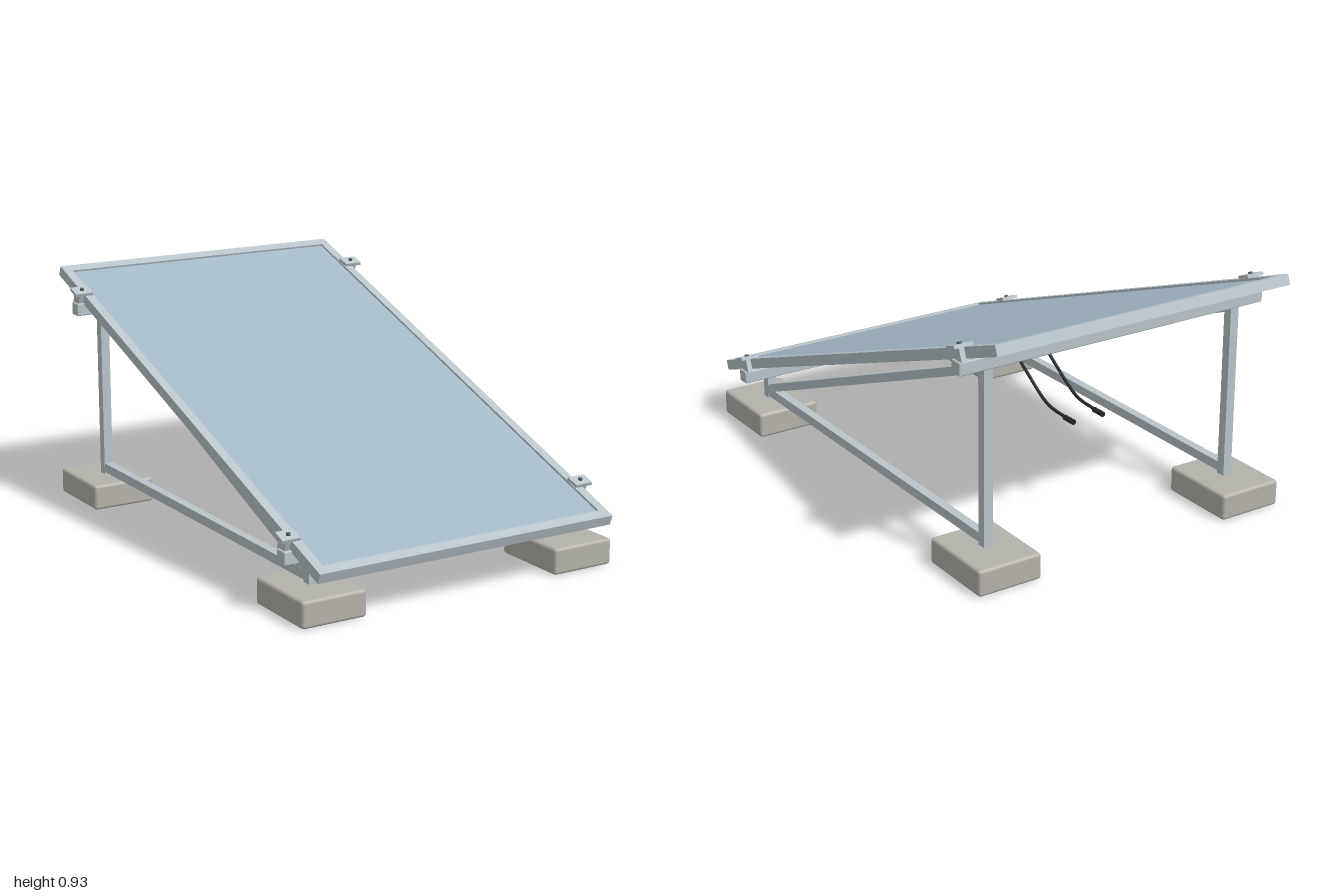
import * as THREE from 'three';
import { RoundedBoxGeometry } from 'three/addons/geometries/RoundedBoxGeometry.js';

const mat = (color) => new THREE.MeshStandardMaterial({ color });

export function createModel() {
  const model = new THREE.Group();
  const metal = mat(0xb9c4cb), glassMat = mat(0xa3b8c6), concrete = mat(0xb4b2aa);
  const black = mat(0x25282b), backMat = mat(0xcccccc), dark = mat(0x55595c);
  const TILT = THREE.MathUtils.degToRad(20);

  const add = (parent, name, geo, material, x = 0, y = 0, z = 0) => {
    const mesh = new THREE.Mesh(geo, material);
    mesh.name = name;
    mesh.position.set(x, y, z);
    parent.add(mesh);
    return mesh;
  };
  const box = (parent, name, w, h, d, x, y, z, m = metal) =>
    add(parent, name, new THREE.BoxGeometry(w, h, d), m, x, y, z);

  // Tilted panel; local y is the panel normal
  const panel = new THREE.Group();
  panel.name = 'panel';
  panel.position.y = 0.548;
  panel.rotation.x = TILT;
  model.add(panel);
  const W = 0.622, L = 1.057, T = 0.04;

  // Rectangular ring lying flat, from y0 up to y0 + h
  const ring = (w, l, barX, barZ, y0, h) => {
    const rect = (C, a, b) => {
      const p = new C();
      p.moveTo(-a, -b);
      p.lineTo(a, -b);
      p.lineTo(a, b);
      p.lineTo(-a, b);
      p.closePath();
      return p;
    };
    const shape = rect(THREE.Shape, w, l);
    shape.holes.push(rect(THREE.Path, w - barX, l - barZ));
    const geo = new THREE.ExtrudeGeometry(shape, { depth: h, bevelEnabled: false });
    return geo.rotateX(-Math.PI / 2).translate(0, y0, 0);
  };
  add(panel, 'panelFrame', ring(W, L, 0.035, 0.042, -T / 2, T), metal);
  box(panel, 'glass', 2 * W - 0.06, 0.008, 2 * L - 0.07, 0, 0.008, 0, glassMat);
  box(panel, 'backSheet', 2 * W - 0.06, 0.006, 2 * L - 0.07, 0, 0.001, 0, backMat);

  // Clamps holding the panel edges to the cross rails
  for (const sx of [-1, 1]) {
    for (const sz of [-1, 1]) {
      const clamp = new THREE.Group();
      clamp.name = 'clamp';
      clamp.position.set(sx * 0.627, 0, sz * 0.842);
      panel.add(clamp);
      box(clamp, 'clampPlate', 0.074, 0.012, 0.054, 0, 0.026, 0);
      box(clamp, 'clampStem', 0.02, 0.056, 0.046, sx * 0.008, -0.004, 0);
      add(clamp, 'clampBolt', new THREE.CylinderGeometry(0.008, 0.008, 0.01, 12), dark, 0, 0.034, 0);
    }
  }

  // Junction box with a short neck up to the back sheet
  add(panel, 'junctionBox', new RoundedBoxGeometry(0.28, 0.026, 0.11, 2, 0.006), black, 0, -0.052, -0.285);
  box(panel, 'junctionNeck', 0.2, 0.045, 0.07, 0, -0.02, -0.285, black);

  // Two hanging cables with connectors
  for (const x of [-0.065, 0.065]) {
    const path = new THREE.CatmullRomCurve3([
      [0.565, -0.27], [0.545, -0.29], [0.488, -0.37], [0.415, -0.495], [0.403, -0.6], [0.401, -0.63],
    ].map(([y, z]) => new THREE.Vector3(x, y, z)));
    add(model, 'cable', new THREE.TubeGeometry(path, 24, 0.006, 8), black);
    const plug = new THREE.CylinderGeometry(0.01, 0.01, 0.055, 12).rotateX(Math.PI / 2);
    add(model, 'connector', plug, black, x, 0.401, -0.632);
  }

  // Cross rails under the panel
  for (const [y, z] of [[0.212, 0.795], [0.79, -0.795]]) {
    add(model, 'crossRail', new RoundedBoxGeometry(1.306, 0.05, 0.052, 1, 0.005), metal, 0, y, z);
  }

  // Triangular side supports on concrete blocks
  for (const sx of [-1, 1]) {
    const support = new THREE.Group();
    support.name = 'sideSupport';
    support.position.x = sx * 0.532;
    model.add(support);
    const b = 0.036;
    box(support, 'rearLeg', b, 0.675, b, 0, 0.4375, -0.795);
    box(support, 'frontLeg', b, 0.095, b, 0, 0.1475, 0.795);
    box(support, 'baseBar', b * 0.95, b, 1.57, 0, 0.127, 0);
    const rise = 0.625, run = 1.575;
    const brace = box(support, 'diagonalBrace', b * 0.9, 0.032, Math.hypot(rise, run), 0, 0.449, 0);
    brace.rotation.x = Math.atan2(rise, run);
    for (const sz of [-1, 1]) {
      add(support, 'concreteBlock', new RoundedBoxGeometry(0.258, 0.1, 0.314, 2, 0.012), concrete, 0, 0.05, sz * 0.795);
    }
  }
  return model;
}
